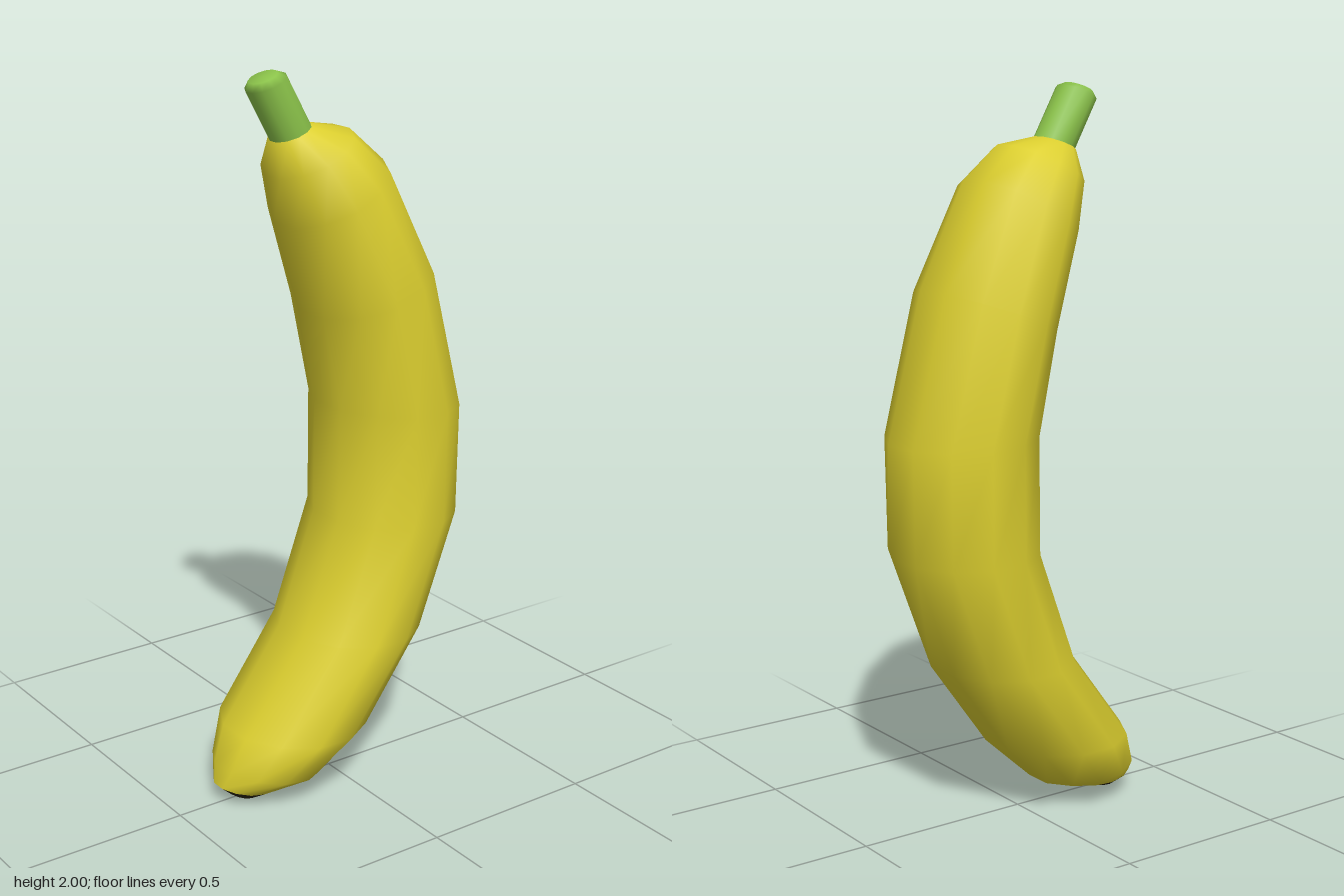
import * as THREE from 'three';

const SIDES = 12;
const STRETCH = 1 / Math.cos(Math.PI / SIDES); // rings have a flat facing front and back

// Each ring is [frontZ, frontY, backZ, backY, halfWidth], listed from bottom to top
function loft(name, rings, material, capBottom, capTop) {
  const pos = [], index = [];
  for (const [fz, fy, bz, by, w] of rings) {
    for (let j = 0; j < SIDES; j++) {
      const a = ((j + 0.5) / SIDES) * Math.PI * 2;
      const c = (Math.cos(a) * STRETCH) / 2;
      pos.push(Math.sin(a) * STRETCH * w, (fy + by) / 2 + c * (fy - by), (fz + bz) / 2 + c * (fz - bz));
    }
  }
  const at = (i, j) => i * SIDES + (j % SIDES);
  for (let i = 0; i < rings.length - 1; i++) {
    for (let j = 0; j < SIDES; j++) {
      index.push(at(i, j), at(i, j + 1), at(i + 1, j + 1), at(i, j), at(i + 1, j + 1), at(i + 1, j));
    }
  }
  const cap = (i, up) => {
    const [fz, fy, bz, by] = rings[i];
    const centre = pos.length / 3;
    pos.push(0, (fy + by) / 2, (fz + bz) / 2);
    for (let j = 0; j < SIDES; j++) {
      if (up) index.push(at(i, j), at(i, j + 1), centre);
      else index.push(at(i, j + 1), at(i, j), centre);
    }
  };
  if (capBottom) cap(0, false);
  if (capTop) cap(rings.length - 1, true);
  const geometry = new THREE.BufferGeometry();
  geometry.setAttribute('position', new THREE.Float32BufferAttribute(pos, 3));
  geometry.setIndex(index);
  geometry.computeVertexNormals();
  const mesh = new THREE.Mesh(geometry, material);
  mesh.name = name;
  return mesh;
}

export function createModel() {
  const yellow = new THREE.MeshStandardMaterial({ name: 'yellow peel', color: 0xdccf2f });
  const green = new THREE.MeshStandardMaterial({ name: 'green stem', color: 0x8bc34a });
  const dark = new THREE.MeshStandardMaterial({ name: 'dark tip', color: 0x2a2410 });

  const group = new THREE.Group();
  group.name = 'banana';

  // Curved fruit body
  const tipRing = [0.375, 0.05, 0.22, 0.015, 0.08];
  group.add(loft('peel', [
    tipRing,
    [0.36, 0.1, 0.07, 0.06, 0.155],
    [0.32, 0.2, -0.07, 0.19, 0.21],
    [0.13, 0.45, -0.25, 0.44, 0.215],
    [0.01, 0.77, -0.37, 0.76, 0.218],
    [0.005, 1.09, -0.375, 1.07, 0.22],
    [0.055, 1.35, -0.27, 1.47, 0.22],
    [0.14, 1.6, -0.14, 1.75, 0.18],
    [0.175, 1.73, -0.04, 1.84, 0.135],
    [0.172, 1.82, 0.07, 1.86, 0.062],
  ], yellow, false, true));

  // Dark blossom end, slightly domed
  group.add(loft('tip', [[0.34, 0.018, 0.27, 0, 0.045], tipRing], dark, true, false));

  // Leaning stem with a softened top edge
  group.add(loft('stem', [
    [0.16, 1.8, 0.06, 1.845, 0.057],
    [0.243, 1.95, 0.143, 1.993, 0.057],
    [0.236, 1.972, 0.166, 2, 0.04],
  ], green, false, true));

  return group;
}
